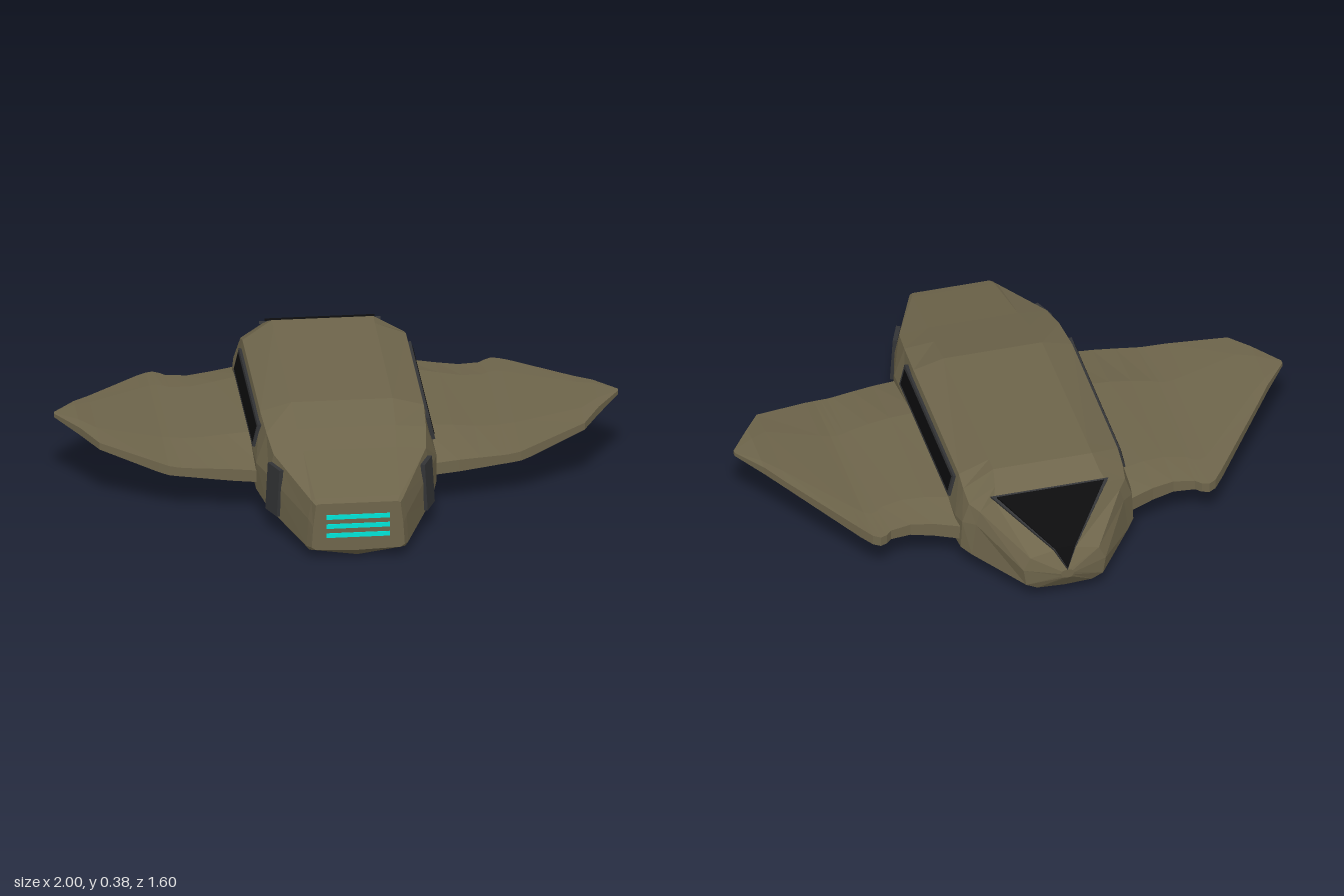
import * as THREE from 'three';

const paint = (color) => new THREE.MeshStandardMaterial({ color, flatShading: true, side: THREE.DoubleSide });
const hullMat = paint(0x6e654b);
const frameMat = paint(0x333436);
const glassMat = paint(0x0c0c0d);
const lightMat = paint(0x00e5d8);

// Joins closed loops of Vector3 into a faceted solid with capped ends.
function loft(loops) {
  const p = [];
  const tri = (...v) => v.forEach((q) => p.push(q.x, q.y, q.z));
  const n = loops[0].length;
  for (let s = 0; s < loops.length - 1; s++) {
    const a = loops[s], b = loops[s + 1];
    for (let i = 0; i < n; i++) {
      const j = (i + 1) % n;
      tri(a[i], b[i], a[j]);
      tri(a[j], b[i], b[j]);
    }
  }
  const cap = (loop, flip) => {
    const c = new THREE.Vector3();
    loop.forEach((q) => c.addScaledVector(q, 1 / n));
    loop.forEach((q, i) => {
      const r = loop[(i + 1) % n];
      flip ? tri(c, r, q) : tri(c, q, r);
    });
  };
  cap(loops[0], false);
  cap(loops[loops.length - 1], true);
  const g = new THREE.BufferGeometry();
  g.setAttribute('position', new THREE.Float32BufferAttribute(p, 3));
  g.computeVertexNormals();
  return g;
}

function add(parent, name, geometry, material) {
  const m = new THREE.Mesh(geometry, material);
  m.name = name;
  parent.add(m);
  return m;
}

// Half sections, nose to tail: z, keel y, then lower, side low, side high, shoulder, roof edge as x, y
const hullSections = [
  [0.8, 0.035, 0.15, 0.04, 0.165, 0.05, 0.16, 0.13, 0.15, 0.212, 0.14, 0.217],
  [0.77, 0.005, 0.17, 0.03, 0.18, 0.045, 0.175, 0.15, 0.163, 0.218, 0.15, 0.225],
  [0.5, 0.003, 0.18, 0.03, 0.29, 0.08, 0.287, 0.2, 0.27, 0.282, 0.165, 0.291],
  [0.38, 0.002, 0.18, 0.03, 0.32, 0.1, 0.32, 0.2, 0.283, 0.312, 0.175, 0.322],
  [0.23, 0, 0.18, 0.03, 0.32, 0.1, 0.32, 0.2, 0.29, 0.33, 0.18, 0.36],
  [-0.39, 0, 0.18, 0.03, 0.32, 0.1, 0.32, 0.2, 0.29, 0.33, 0.18, 0.374],
  [-0.45, 0, 0.18, 0.03, 0.32, 0.1, 0.32, 0.2, 0.29, 0.31, 0.18, 0.375],
  [-0.51, 0, 0.18, 0.03, 0.315, 0.1, 0.31, 0.21, 0.285, 0.285, 0.19, 0.345],
  [-0.55, 0.005, 0.17, 0.03, 0.285, 0.09, 0.27, 0.22, 0.255, 0.272, 0.205, 0.318],
  [-0.75, 0.05, 0.1, 0.055, 0.14, 0.075, 0.15, 0.14, 0.125, 0.19, 0.04, 0.208],
  [-0.79, 0.11, 0.015, 0.112, 0.02, 0.12, 0.025, 0.13, 0.02, 0.14, 0.005, 0.145],
];

function hullLoop([z, keel, ...xy]) {
  const right = [], left = [];
  for (let i = 0; i < xy.length; i += 2) {
    right.push(new THREE.Vector3(xy[i], xy[i + 1], z));
    left.unshift(new THREE.Vector3(-xy[i], xy[i + 1], z));
  }
  return [new THREE.Vector3(0, keel, z), ...right, ...left];
}

// Wing stations: x, rear z, front z, edge bottom y, edge top y, bulge
const wingStations = [
  [0.28, -0.51, 0.39, 0.125, 0.18, 0.035],
  [0.4, -0.46, 0.373, 0.13, 0.182, 0.025],
  [0.48, -0.44, 0.36, 0.135, 0.18, 0.018],
  [0.555, -0.453, 0.347, 0.14, 0.178, 0.013],
  [0.575, -0.474, 0.344, 0.141, 0.178, 0.012],
  [0.6, -0.485, 0.34, 0.143, 0.18, 0.01],
  [0.625, -0.472, 0.335, 0.145, 0.183, 0.009],
  [0.66, -0.43, 0.322, 0.153, 0.192, 0.008],
  [0.86, -0.165, 0.24, 0.212, 0.24, 0.007],
  [0.92, -0.085, 0.146, 0.229, 0.258, 0.004],
  [1, 0.015, 0.03, 0.25, 0.264, 0],
];

function wingLoop([x, zr, zf, yb, yt, bulge], side) {
  const at = (t, y) => new THREE.Vector3(side * x, y, zr + (zf - zr) * t);
  const loop = [
    at(0.5, yb - bulge * 0.6), at(1, yb), at(1, yt - bulge * 0.3),
    at(0.72, yt + bulge), at(0.16, yt + bulge * 0.8), at(0, yt), at(0, yb),
  ];
  return side > 0 ? loop : loop.reverse();
}

// Bent triangular rear window: two base corners, a fold, and the tip
function rearPane(w, zTop, zTip, lift) {
  const rows = [[w, 0.322, zTop], [w * 0.19, 0.209, -0.75], [0.001, 0.146, zTip]];
  const loop = ([x, y, z]) => [[x, 0], [x, lift], [-x, lift], [-x, 0]]
    .map(([px, d]) => new THREE.Vector3(px, y + d * 0.87, z - d * 0.5));
  return loft(rows.map(loop));
}

export function createModel() {
  const model = new THREE.Group();
  model.name = 'shuttle';
  add(model, 'hull', loft(hullSections.map(hullLoop)), hullMat);

  for (const side of [1, -1]) {
    const label = side > 0 ? 'left' : 'right';
    add(model, label + 'Wing', loft(wingStations.map((s) => wingLoop(s, side))), hullMat);

    // Long side window lying on the sloped flank
    const sideWindow = new THREE.Group();
    sideWindow.name = label + 'SideWindow';
    sideWindow.position.set(side * 0.306, 0.265, -0.037);
    sideWindow.rotation.z = side * 0.227;
    add(sideWindow, 'windowFrame', new THREE.BoxGeometry(0.018, 0.086, 0.665), frameMat);
    add(sideWindow, 'windowGlass', new THREE.BoxGeometry(0.022, 0.062, 0.635), glassMat);
    model.add(sideWindow);

    // Upright panel on the tapering nose
    const panel = add(model, label + 'NosePanel', new THREE.BoxGeometry(0.016, 0.175, 0.085), frameMat);
    panel.position.set(side * 0.272, 0.168, 0.545);
    panel.rotation.set(0, -side * 0.4, side * 0.06);
  }

  // Rear window with its frame
  const rearWindow = new THREE.Group();
  rearWindow.name = 'rearWindow';
  add(rearWindow, 'rearWindowFrame', rearPane(0.215, -0.54, -0.79, 0.01), frameMat);
  add(rearWindow, 'rearWindowGlass', rearPane(0.195, -0.551, -0.788, 0.014), glassMat);
  model.add(rearWindow);

  // Nose light bars
  for (const y of [0.095, 0.13, 0.165]) {
    const bar = add(model, 'noseLight', new THREE.BoxGeometry(0.225, 0.017, 0.008), lightMat);
    bar.position.set(0, y, 0.799);
  }
  return model;
}
